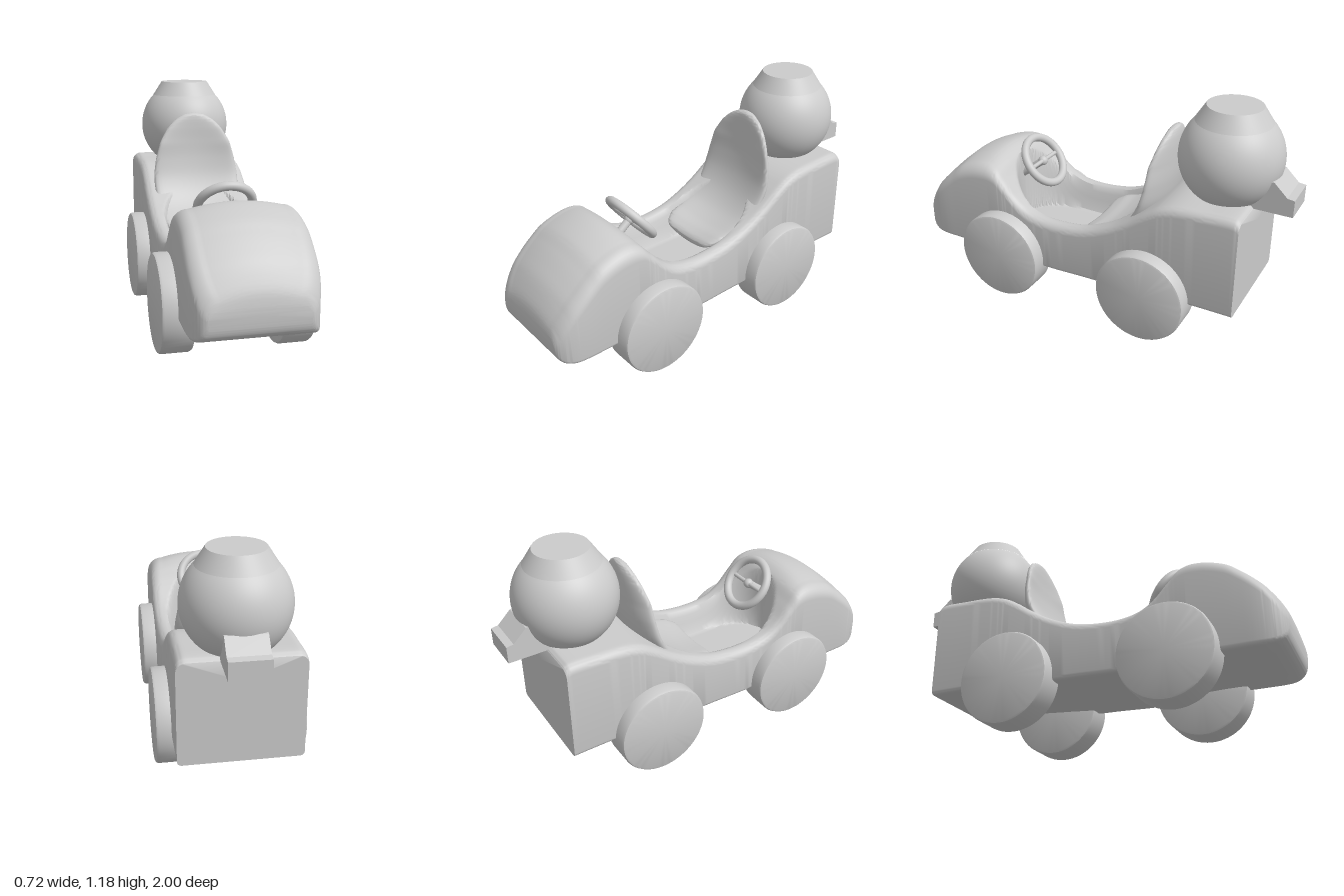
import * as THREE from 'three';
import { toCreasedNormals } from 'three/addons/utils/BufferGeometryUtils.js';

const V = (x, y, z) => new THREE.Vector3(x, y, z);
const { smoothstep, clamp } = THREE.MathUtils;

function add(parent, name, geometry) {
  const mat = new THREE.MeshStandardMaterial({ color: 0xcccccc });
  const mesh = new THREE.Mesh(geometry, mat);
  mesh.name = name;
  parent.add(mesh);
  return mesh;
}

// Closed skin through equal-length rings, with fan caps at both ends
function loft(rings, crease = 0.7) {
  const n = rings[0].length, pos = [], idx = [];
  rings.forEach(r => r.forEach(p => pos.push(p.x, p.y, p.z)));
  for (let i = 0; i < rings.length - 1; i++) {
    for (let j = 0; j < n; j++) {
      const a = i * n + j, b = i * n + (j + 1) % n;
      idx.push(a, b, b + n, a, b + n, a + n);
    }
  }
  [0, rings.length - 1].forEach((i, end) => {
    const c = V(0, 0, 0);
    rings[i].forEach(p => c.addScaledVector(p, 1 / n));
    const ci = pos.length / 3;
    pos.push(c.x, c.y, c.z);
    for (let j = 0; j < n; j++) {
      const a = i * n + j, b = i * n + (j + 1) % n;
      end ? idx.push(ci, a, b) : idx.push(ci, b, a);
    }
  });
  const g = new THREE.BufferGeometry();
  g.setAttribute('position', new THREE.Float32BufferAttribute(pos, 3));
  g.setIndex(idx);
  return toCreasedNormals(g, crease);
}

// Cross-section of the body at z, hollowed out around the cockpit
function bodyRing(z, top, bottom) {
  const nose = clamp((z - 0.8) / 0.2, 0, 1);
  const w = 0.288 - 0.075 * (1 - Math.sqrt(1 - 0.98 * nose ** 3));
  const tall = top - bottom;
  const hood = smoothstep(z, 0.42, 0.62);
  const r = Math.min(0.045 + 0.03 * hood, tall * 0.4);
  const rb = Math.min(0.02, tall * 0.2);
  const crown = Math.min(0.03 * hood, tall * 0.1);
  const shoulder = top - crown;
  const t = (z - 0.11) / 0.41;
  const inner = Math.abs(t) < 1 ? 0.225 * Math.sqrt(1 - t ** 4) : 0;
  const half = [[0, bottom], [w * 0.5, bottom]];
  for (let k = 0; k <= 4; k++) {
    const a = (k / 4 - 1) * Math.PI / 2;
    half.push([w - rb + rb * Math.cos(a), bottom + rb + rb * Math.sin(a)]);
  }
  for (let k = 0; k <= 8; k++) {
    const a = k / 8 * Math.PI / 2;
    half.push([w - r + r * Math.cos(a), shoulder - r + r * Math.sin(a)]);
  }
  for (let k = 1; k <= 18; k++) {
    const u = 1 - k / 18, x = (w - r) * u;
    const dip = Math.max(0, top - 0.33) * smoothstep(inner - x, 0, 0.07);
    half.push([x, shoulder + crown * (1 - u * u) - dip]);
  }
  const left = half.slice(1, -1).reverse().map(([x, y]) => [-x, y]);
  return half.concat(left).map(([x, y]) => V(x, y, z));
}

function bodyGeometry() {
  // z, top, bottom from the tail to the nose
  const rows = [
    [-0.815, 0.735, 0.235], [-0.8, 0.748, 0.235], [-0.65, 0.748, 0.235], [-0.5, 0.738, 0.232],
    [-0.42, 0.715, 0.23], [-0.35, 0.675, 0.225], [-0.25, 0.605, 0.218], [-0.15, 0.548, 0.21],
    [0, 0.492, 0.206], [0.2, 0.475, 0.2], [0.32, 0.498, 0.205], [0.4, 0.55, 0.212],
    [0.47, 0.63, 0.217], [0.53, 0.705, 0.219], [0.6, 0.735, 0.221], [0.74, 0.7, 0.221],
    [0.81, 0.65, 0.221], [0.87, 0.597, 0.221], [0.92, 0.545, 0.223], [0.96, 0.485, 0.234],
    [0.985, 0.435, 0.255], [0.997, 0.385, 0.285], [1, 0.355, 0.315]];
  const curve = new THREE.CatmullRomCurve3(rows.map(r => V(...r)));
  const rings = curve.getPoints(176).map(p => bodyRing(p.x, p.y, p.z));
  return loft(rings);
}

function seatGeometry() {
  // y, z, half width, half thickness, from the top of the back to the front of the pan
  const rows = [
    [1.028, -0.368, 0.01, 0.008], [1.02, -0.369, 0.055, 0.018], [0.99, -0.37, 0.108, 0.025],
    [0.945, -0.37, 0.152, 0.029], [0.87, -0.368, 0.195, 0.032], [0.77, -0.36, 0.222, 0.036],
    [0.66, -0.335, 0.235, 0.04], [0.56, -0.28, 0.23, 0.04], [0.485, -0.2, 0.222, 0.038],
    [0.44, -0.1, 0.212, 0.036], [0.425, -0.03, 0.2, 0.034], [0.415, 0.015, 0.175, 0.028],
    [0.408, 0.036, 0.14, 0.015], [0.407, 0.04, 0.1, 0.004]];
  const path = new THREE.CatmullRomCurve3(rows.map(r => V(0, r[0], r[1])));
  const size = new THREE.CatmullRomCurve3(rows.map(r => V(r[2], r[3], 0)));
  const rings = [];
  for (let i = 0; i <= 78; i++) {
    const p = path.getPoint(i / 78), s = size.getPoint(i / 78);
    const normal = path.getTangent(i / 78).cross(V(1, 0, 0));
    const curl = 0.04 * Math.min(1, s.x / 0.2) ** 2;
    const ring = [];
    for (let j = 0; j < 40; j++) {
      const a = j / 40 * Math.PI * 2, c = Math.cos(a), d = Math.sin(a);
      const h = s.y * Math.sign(d) * Math.abs(d) ** 0.8 + curl * c * c;
      ring.push(p.clone().addScaledVector(normal, h).add(V(s.x * c, 0, 0)));
    }
    rings.push(ring);
  }
  return loft(rings, 1.2);
}

function lathe(points, segments = 64) {
  const g = new THREE.LatheGeometry(points.map(p => new THREE.Vector2(...p)), segments);
  return toCreasedNormals(g, 0.5);
}

export function createModel() {
  const model = new THREE.Group();
  model.name = 'toyCar';

  add(model, 'body', bodyGeometry());
  add(model, 'seat', seatGeometry());

  // Wheels with softly rounded rims
  const wheelGeo = lathe([[0, -0.078], [0.222, -0.078], [0.231, -0.074], [0.236, -0.064],
    [0.236, 0.064], [0.231, 0.074], [0.222, 0.078], [0, 0.078]]);
  for (const [end, z] of [['front', 0.465], ['rear', -0.36]]) {
    for (const side of [1, -1]) {
      const wheel = add(model, end + (side > 0 ? 'Left' : 'Right') + 'Wheel', wheelGeo);
      wheel.rotation.z = -side * Math.PI / 2;
      wheel.position.set(side * 0.284, 0.237, z);
    }
  }

  // Steering wheel; local +z points back and up toward the driver
  const steering = new THREE.Group();
  steering.name = 'steeringWheel';
  steering.position.set(-0.005, 0.672, 0.388);
  steering.lookAt(-0.005, 0.672 + 0.61, 0.388 - 0.79);
  model.add(steering);
  add(steering, 'rim', new THREE.TorusGeometry(0.132, 0.022, 16, 56));
  add(steering, 'hub', new THREE.SphereGeometry(0.026, 20, 14)).position.z = -0.012;
  for (const side of [1, -1]) {
    const spoke = add(steering, 'spoke', new THREE.CylinderGeometry(0.011, 0.011, 0.13, 12));
    spoke.rotation.z = Math.PI / 2;
    spoke.position.set(side * 0.066, 0, -0.006);
  }
  const column = add(steering, 'column', new THREE.CylinderGeometry(0.02, 0.02, 0.2, 16));
  column.rotation.x = Math.PI / 2;
  column.position.z = -0.11;

  // Round tank with a tapered cap on the rear deck
  const tank = new THREE.Group();
  tank.name = 'tank';
  tank.position.set(0.005, 0.935, -0.66);
  model.add(tank);
  const profile = [];
  for (let i = 0; i <= 36; i++) {
    const a = -Math.PI / 2 + i / 36 * (Math.PI / 2 + 0.775);
    profile.push([Math.max(0, 0.25 * Math.cos(a)), 0.25 * Math.sin(a)]);
  }
  add(tank, 'tankBall', lathe(profile));
  add(tank, 'tankCap', lathe([[0.181, 0.174], [0.132, 0.25], [0, 0.25]]));

  // Spout at the back of the tank
  const shape = new THREE.Shape([[0.75, 0.735], [1, 0.735], [1, 0.82], [0.965, 0.825],
    [0.9, 0.888], [0.75, 0.9]].map(p => new THREE.Vector2(...p)));
  const spoutGeo = new THREE.ExtrudeGeometry(shape, { depth: 0.184, bevelEnabled: false });
  const spout = add(model, 'spout', spoutGeo);
  spout.rotation.y = Math.PI / 2;
  spout.position.x = -0.087;

  return model;
}
